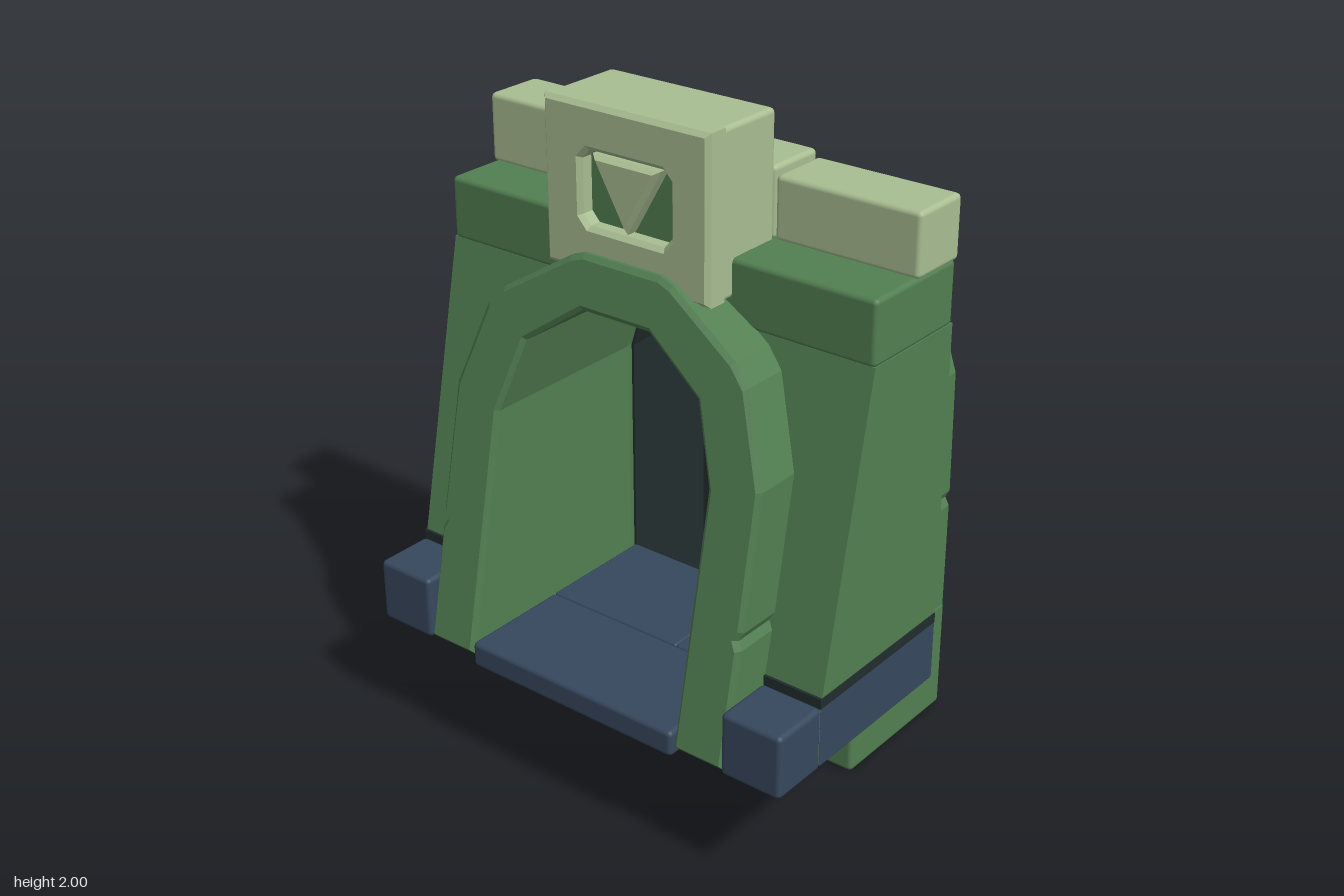
import * as THREE from 'three';
import { RoundedBoxGeometry } from 'three/addons/geometries/RoundedBoxGeometry.js';

const mat = (name, color, opts = {}) => {
  const m = new THREE.MeshStandardMaterial({ color, ...opts });
  m.name = name;
  return m;
};

export function createModel() {
  const green = mat('mossGreenStone', 0x527f52);
  const pale = mat('paleStone', 0xa9be92);
  const blue = mat('blueStone', 0x37485e);
  const dark = mat('darkStone', 0x222d2d);
  const model = new THREE.Group();
  model.name = 'stoneGateway';

  const add = (name, geometry, material) => {
    const mesh = new THREE.Mesh(geometry, material);
    mesh.name = name;
    model.add(mesh);
    return mesh;
  };

  // Box given by its limits, with softly worn edges
  const block = (name, material, [x0, x1], [y0, y1], [z0, z1], r = 0.015) => {
    const w = x1 - x0, h = y1 - y0, d = z1 - z0;
    const geo = r ? new RoundedBoxGeometry(w, h, d, 2, r) : new THREE.BoxGeometry(w, h, d);
    geo.translate((x0 + x1) / 2, (y0 + y1) / 2, (z0 + z1) / 2);
    return add(name, geo, material);
  };

  // Extrude between two z planes; the front can lean back as y rises
  const slab = (name, material, shape, z0, z1, bevel = 0, lean = 0, yRef = 0) => {
    const depth = z1 - z0;
    const geo = new THREE.ExtrudeGeometry(shape, {
      depth: depth - 2 * bevel, bevelEnabled: bevel > 0, bevelSegments: 1,
      bevelSize: bevel, bevelThickness: bevel, bevelOffset: -bevel,
    });
    geo.translate(0, 0, z0 + bevel);
    if (lean) {
      const p = geo.attributes.position;
      for (let i = 0; i < p.count; i++) {
        const t = (p.getZ(i) - z0) / depth;
        p.setZ(i, p.getZ(i) - lean * (p.getY(i) - yRef) * t);
      }
      geo.computeVertexNormals();
    }
    return add(name, geo, material);
  };

  // Arch outlines: right half from the foot upward, then mirrored
  const outerHalf = [[0.54, 0.7], [0.527, 0.725], [0.54, 0.75], [0.535, 1.13], [0.45, 1.38],
    [0.40, 1.435], [0.175, 1.575], [0.13, 1.59]];
  const innerHalf = [[0.37, 1.09], [0.30, 1.31], [0.115, 1.44]];
  const mirrored = (half, foot, inset = 0) => {
    const pts = [[half[0][0], foot], ...half].map(([x, y]) =>
      new THREE.Vector2(x - inset, y > 1.2 ? y - inset : y));
    return [...pts, ...pts.slice().reverse().map((p) => new THREE.Vector2(-p.x, p.y))];
  };
  const horseshoe = (outer, inner) => new THREE.Shape([...outer, ...inner.slice().reverse()]);
  const opening = (foot, inset = 0) => mirrored(innerHalf, foot, inset);

  // Leaning front wall and the leaning arch in front of it
  const wall = [[0.725, 0.37], [0.725, 1.46], [-0.725, 1.46], [-0.725, 0.37]]
    .map(([x, y]) => new THREE.Vector2(x, y));
  slab('frontWall', green, horseshoe(wall, opening(0.37, -0.01)), -0.18, 0.37, 0, 0.21, 0.55);
  slab('frontArch', green, horseshoe(mirrored(outerHalf, 0.36), opening(0.36)),
    -0.175, 0.515, 0.014, 0.205, 0.55);

  // Rear arch, its dark lining and the closed back
  slab('rearArch', green, horseshoe(mirrored(outerHalf, 0.36), opening(0.36)), -0.55, -0.17, 0.014);
  slab('tunnelLining', dark, horseshoe(opening(0.36, -0.002), opening(0.36, 0.006)), -0.54, -0.18);
  slab('backPanel', dark, new THREE.Shape(opening(0.005, -0.004)), -0.54, -0.52);

  for (const s of [-1, 1]) {
    const side = s < 0 ? 'right' : 'left';
    const span = (a, b) => (s < 0 ? [-b, -a] : [a, b]);
    block(side + 'RearFoot', green, span(0.37, 0.54), [0.004, 0.365], [-0.55, -0.07]);
    block(side + 'FootLining', dark, span(0.364, 0.372), [0.01, 0.36], [-0.53, -0.08], 0);
    block(side + 'BaseFront', blue, span(0.535, 0.73), [0.355, 0.55], [0.37, 0.555]);
    block(side + 'BaseSide', blue, span(0.535, 0.728), [0.36, 0.55], [-0.18, 0.372], 0.006);
    block(side + 'ShadowCourse', dark, span(0.53, 0.728), [0.545, 0.575], [-0.178, 0.373], 0);
  }

  // Dark underside and stairs going down inside
  block('underside', dark, [-0.53, 0.53], [0, 0.012], [-0.54, -0.08], 0);
  [[0.325, -0.2], [0.2, -0.32], [0.1, -0.43], [0.03, -0.53]].forEach(([top, back], i) =>
    block('innerStep' + (i + 1), dark, [-0.37, 0.37], [0.005, top], [back, -0.075 - i * 0.004], 0.006));

  // Floor slabs and doorstep
  block('doorstep', blue, [-0.367, 0.367], [0.33, 0.41], [0.2, 0.555]);
  block('floorSlabLarge', blue, [-0.367, 0.1], [0.33, 0.408], [-0.18, 0.2], 0.008);
  block('floorSlabSmall', blue, [0.1, 0.367], [0.33, 0.408], [-0.18, 0.2], 0.008);

  // Lintel and the row of capstones
  block('lintel', green, [-0.725, 0.725], [1.455, 1.642], [-0.18, 0.182]);
  [[-0.733, -0.45, 1.842], [-0.45, -0.005, 1.82], [-0.005, 0.28, 1.842], [0.28, 0.73, 1.82]]
    .forEach(([x0, x1, top], i) =>
      block('capstone' + (i + 1), pale, [x0, x1], [1.637, top], [-0.185, 0.005]));

  // Keystone: solid back, framed recess and a raised wedge
  block('keystoneBack', pale, [-0.277, 0.277], [1.53, 2], [0, 0.23]);
  const frame = new THREE.Shape([[-0.277, 1.53], [0.277, 1.53], [0.277, 2], [-0.277, 2]]
    .map(([x, y]) => new THREE.Vector2(x, y)));
  frame.holes.push(new THREE.Path([[-0.15, 1.69], [-0.15, 1.845], [-0.125, 1.872], [0.125, 1.872],
    [0.15, 1.845], [0.15, 1.69], [0.125, 1.662], [-0.125, 1.662]]
    .map(([x, y]) => new THREE.Vector2(x, y))));
  slab('keystoneFrame', pale, frame, 0.2, 0.282, 0.013);
  block('recessPanel', green, [-0.16, 0.16], [1.65, 1.885], [0.228, 0.235], 0);
  const wedge = new THREE.Shape([[-0.115, 1.865], [0, 1.665], [0.115, 1.865]]
    .map(([x, y]) => new THREE.Vector2(x, y)));
  slab('wedge', pale, wedge, 0.2, 0.284, 0.016);

  return model;
}
